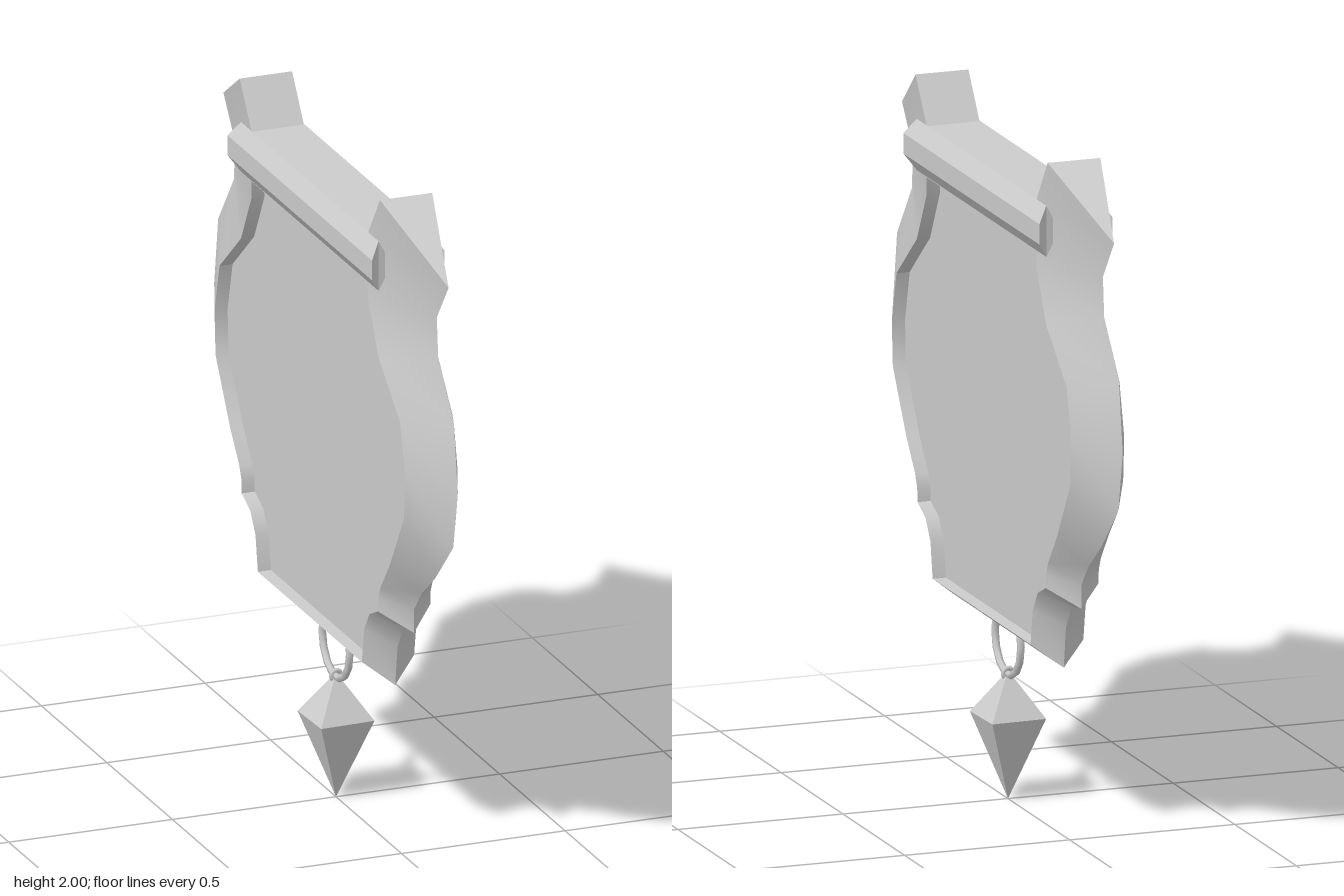
import * as THREE from 'three';
import { toCreasedNormals } from 'three/addons/utils/BufferGeometryUtils.js';

const material = new THREE.MeshStandardMaterial({ color: 0xcccccc });
const HALF = 0.08; // half thickness of the frame

// Half outline of the frame, horn to bottom corner: inner z, inner y, ridge z, ridge y
const OUTLINE = [
  [0.535, 2.0, 0.86, 1.835], [0.445, 1.87, 0.86, 1.835], [0.445, 1.67, 0.77, 1.715],
  [0.525, 1.52, 0.78, 1.6], [0.69, 1.38, 0.9, 1.44], [0.728, 1.23, 0.93, 1.235],
  [0.72, 1.1, 0.895, 1.06], [0.61, 0.92, 0.757, 0.92], [0.54, 0.83, 0.655, 0.84],
  [0.522, 0.79, 0.595, 0.77], [0.52, 0.75, 0.595, 0.7], [0.455, 0.72, 0.52, 0.69],
  [0.415, 0.66, 0.47, 0.615], [0.397, 0.555, 0.452, 0.493],
];

// Skins a row of equal rings of [x, y, z] points and closes both ends
function loft(rings, crease) {
  const pos = [];
  const tri = (a, b, c) => pos.push(...a, ...b, ...c);
  const n = rings[0].length;
  for (let i = 0; i < rings.length - 1; i++) {
    for (let k = 0; k < n; k++) {
      const a = rings[i][k], b = rings[i][(k + 1) % n];
      const c = rings[i + 1][(k + 1) % n], d = rings[i + 1][k];
      tri(a, d, c);
      tri(a, c, b);
    }
  }
  const first = rings[0], last = rings[rings.length - 1];
  for (let k = 1; k < n - 1; k++) {
    tri(first[0], first[k], first[k + 1]);
    tri(last[0], last[k + 1], last[k]);
  }
  const geo = new THREE.BufferGeometry();
  geo.setAttribute('position', new THREE.Float32BufferAttribute(pos, 3));
  geo.computeVertexNormals();
  return toCreasedNormals(geo, crease);
}

export function createModel() {
  const model = new THREE.Group();
  const add = (name, geo, x = 0, y = 0, z = 0) => {
    const mesh = new THREE.Mesh(geo, material);
    mesh.name = name;
    mesh.position.set(x, y, z);
    model.add(mesh);
    return mesh;
  };

  // Frame: triangular section running from one horn, under the panel, to the other
  const mirrored = [...OUTLINE].reverse().map(([iz, iy, oz, oy]) => [-iz, iy, -oz, oy]);
  const path = [...OUTLINE, ...mirrored];
  add('frame', loft(path.map(([iz, iy, oz, oy]) => [
    [0, oy, oz], [HALF, iy, iz], [-HALF, iy, iz],
  ]), 0.6));

  // Recessed panel filling the inner outline
  const inner = path.filter(p => p[1] < 1.9).map(([z, y]) => new THREE.Vector2(-z, y));
  const panel = new THREE.ExtrudeGeometry(new THREE.Shape(inner), { depth: 0.08, bevelEnabled: false });
  panel.translate(0, 0, -0.04);
  panel.rotateY(Math.PI / 2);
  // keep the top of the panel inside the crossbar
  const pp = panel.attributes.position;
  for (let i = 0; i < pp.count; i++) pp.setY(i, Math.min(pp.getY(i), 1.8));
  add('panel', panel);

  // Crossbar between the horns
  add('crossbar', new THREE.BoxGeometry(HALF * 2, 0.15, 0.9), 0, 1.795, 0);

  // Six-sided rods along both faces of the crossbar, with slanted ends
  const section = [[0, 0.075, 0.525], [0.031, 0.03, 0.552], [0.031, -0.03, 0.552],
    [0, -0.075, 0.525], [-0.022, -0.035, 0.525], [-0.022, 0.035, 0.525]];
  for (const side of [1, -1]) {
    const ring = end => section.map(([x, y, z]) => [x, y, z * end]);
    const rod = add(side > 0 ? 'leftRod' : 'rightRod', loft([ring(-1), ring(1)], 0.3), side * HALF, 1.797, 0);
    if (side < 0) rod.rotation.y = Math.PI;
  }

  // Hanging ring under the frame
  const ring = new THREE.TorusGeometry(0.105, 0.011, 6, 14);
  ring.rotateY(Math.PI / 2);
  add('hangingRing', ring, 0, 0.468, 0);

  // Small eyelet and four-sided drop pendant
  add('eyelet', new THREE.TorusGeometry(0.015, 0.007, 6, 10), 0, 0.368, 0);
  const drop = new THREE.LatheGeometry([
    [0, 0], [0.117, 0.245], [0.01, 0.365], [0, 0.365],
  ].map(p => new THREE.Vector2(...p)), 4);
  drop.rotateY(Math.PI / 4 + 0.04);
  add('pendant', toCreasedNormals(drop, 0.2));

  return model;
}
